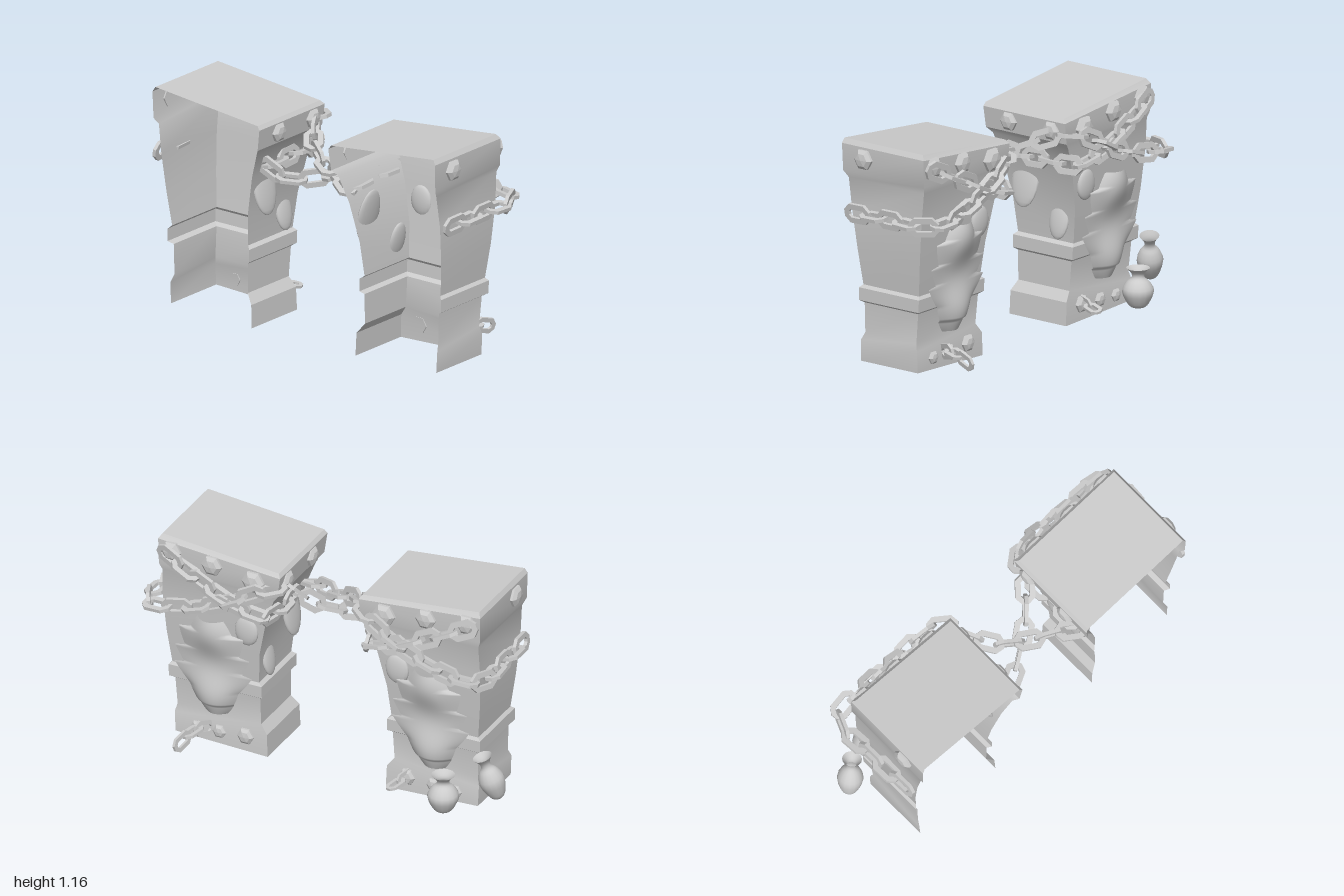
import * as THREE from 'three';
import { toCreasedNormals } from 'three/addons/utils/BufferGeometryUtils.js';

const V = (x, y, z) => new THREE.Vector3(x, y, z);
const UP = V(0, 1, 0);
const grey = new THREE.MeshStandardMaterial({ color: 0xcccccc });
const greySheet = new THREE.MeshStandardMaterial({ color: 0xcccccc, side: THREE.DoubleSide });
const greyFlat = new THREE.MeshStandardMaterial({ color: 0xcccccc, flatShading: true });

function add(parent, name, geometry, material = grey) {
  const mesh = new THREE.Mesh(geometry, material);
  mesh.name = name;
  parent.add(mesh);
  return mesh;
}

// Pillar levels: outer y, inner y, outer x, inner x, front z, back z
const LEVELS = [
  [0.02, 0, 0.82, 0.31, 0.262, -0.098],
  [0.13, 0.12, 0.825, 0.315, 0.26, -0.096],
  [0.17, 0.17, 0.815, 0.352, 0.24, -0.085],
  [0.325, 0.325, 0.82, 0.35, 0.24, -0.1],
  [0.34, 0.34, 0.845, 0.33, 0.257, -0.122],
  [0.405, 0.405, 0.845, 0.33, 0.257, -0.125],
  [0.42, 0.42, 0.83, 0.35, 0.24, -0.113],
  [0.6, 0.6, 0.85, 0.335, 0.26, -0.135],
  [0.8, 0.8, 0.862, 0.29, 0.285, -0.155],
  [0.965, 0.94, 0.858, 0.24, 0.31, -0.168],
  [1.0, 0.97, 0.872, 0.215, 0.335, -0.178],
  [1.14, 1.08, 0.875, 0.2, 0.34, -0.18],
  [1.165, 1.1, 0.86, 0.215, 0.335, -0.162],
];

// Interpolates the levels at a height
function levelAt(y) {
  const i = Math.max(1, LEVELS.findIndex((l) => l[0] >= y));
  const a = LEVELS[i - 1], b = LEVELS[i], t = (y - a[0]) / (b[0] - a[0]);
  return a.map((v, k) => v + (b[k] - v) * t);
}

// Three walls open to the front, closed by a sloping top
function shellGeometry(s) {
  const pos = [], index = [];
  for (const [yo, yi, xo, xi, zf, zb] of LEVELS)
    pos.push(s * xo, yo, zf, s * xo, yo, zb, s * xi, yi, zb, s * xi, yi, zf);
  const quad = (a, b, c, d) => index.push(...(s > 0 ? [a, b, c, a, c, d] : [a, c, b, a, d, c]));
  for (let i = 0; i < LEVELS.length - 1; i++)
    for (let k = 0; k < 3; k++) {
      const a = i * 4 + k;
      quad(a, a + 1, a + 5, a + 4);
    }
  const t = (LEVELS.length - 1) * 4;
  quad(t, t + 1, t + 2, t + 3);
  const g = new THREE.BufferGeometry();
  g.setAttribute('position', new THREE.Float32BufferAttribute(pos, 3));
  g.setIndex(index);
  return toCreasedNormals(g, 0.45);
}

// Six-sided domed bolt pointing along dir
function bolt(parent, name, p, r, dir) {
  const g = new THREE.LatheGeometry([[1, -0.1], [1, 0.25], [0.65, 0.52], [0, 0.62]]
    .map(([x, y]) => new THREE.Vector2(x * r, y * r)), 6);
  if (dir.z) g.rotateY(Math.PI / 6);
  const m = add(parent, name, g, greyFlat);
  m.position.copy(p);
  m.quaternion.setFromUnitVectors(UP, dir);
}

// Flat elongated eight-sided ring
function octagon(Shape, l, w, c) {
  return new Shape([[l, w - c], [l - c, w], [c - l, w], [-l, w - c], [-l, c - w], [c - l, -w], [l - c, -w], [l, c - w]]
    .map(([x, y]) => new THREE.Vector2(x, y)));
}
const linkShape = octagon(THREE.Shape, 0.08, 0.05, 0.032);
linkShape.holes.push(octagon(THREE.Path, 0.052, 0.022, 0.014));
const linkGeometry = new THREE.ExtrudeGeometry(linkShape, { depth: 0.018, bevelEnabled: false }).translate(0, 0, -0.009);

// Links along a curve, every other one turned a quarter
function chain(parent, name, points, scale = 1) {
  const group = new THREE.Group();
  group.name = name;
  const curve = new THREE.CatmullRomCurve3(points);
  const n = Math.max(2, Math.round(curve.getLength() / (0.108 * scale)));
  for (let i = 0; i < n; i++) {
    const u = (i + 0.5) / n;
    const link = add(group, 'chainLink', linkGeometry);
    const t = curve.getTangentAt(u);
    const side = V().crossVectors(t, UP).normalize();
    const up = V().crossVectors(side, t);
    link.quaternion.setFromRotationMatrix(new THREE.Matrix4().makeBasis(t, up, side));
    link.rotateX((i % 2 ? Math.PI / 2 : 0) + 0.15);
    link.position.copy(curve.getPointAt(u));
    link.scale.setScalar(scale);
  }
  parent.add(group);
}

// Bulging relief with a jagged, tapering outline on the back wall
function reliefGeometry(s) {
  const g = new THREE.PlaneGeometry(2, 1, 12, 60);
  const p = g.attributes.position;
  for (let i = 0; i < p.count; i++) {
    const u = -p.getX(i), v = p.getY(i) + 0.5;
    const saw = v > 0.25 && v < 0.85 ? (((v - 0.25) / 0.2) % 1) : 0;
    const body = 0.155 * Math.pow(Math.sin(Math.PI * (0.06 + 0.86 * v)), 0.55);
    const spike = 0.06 * saw * Math.max(0, Math.abs(u) - 0.6) / 0.4;
    const y = 0.2 + 0.56 * v;
    const bulge = (0.035 + 0.022 * Math.sin(v * 9)) * (1 - u * u);
    const wall = -0.112 - 0.058 * v - (v < 0.1 ? 0 : 0.012);
    p.setXYZ(i, s * 0.585 + u * body + Math.sign(u) * spike, y, wall - bulge);
  }
  g.computeVertexNormals();
  return g;
}

function pillar(s) {
  const g = new THREE.Group();
  g.name = s > 0 ? 'leftPillar' : 'rightPillar';
  add(g, 'pillarShell', shellGeometry(s), greySheet);
  add(g, 'backRelief', reliefGeometry(s), greySheet);

  // Bolts around the crown and along the foot
  const back = V(0, 0, -1);
  for (const [x, y, r] of [[0.8, 1.09, 0.055], [0.575, 1.065, 0.056], [0.345, 1.03, 0.062]])
    bolt(g, 'crownBolt', V(s * x, y, -0.178), r, back);
  for (const [x, y, r] of [[0.7, 0.075, 0.034], [0.575, 0.08, 0.037], [0.43, 0.09, 0.045]])
    bolt(g, 'footBolt', V(s * x, y, -0.096), r, back);
  bolt(g, 'outerBolt', V(s * 0.873, 1.08, 0.2), 0.055, V(s, 0, 0));
  bolt(g, 'innerBolt', V(s * 0.208, 1.03, 0.18), 0.05, V(-s, 0, 0));
  bolt(g, 'innerBolt', V(s * 0.208, 1.03, -0.09), 0.05, V(-s, 0, 0));

  // Low oval bosses on the inner and back walls
  for (const [y, z, ry, rz] of [[0.71, 0.16, 0.14, 0.085], [0.53, -0.03, 0.1, 0.06]]) {
    const m = add(g, 'innerBoss', new THREE.SphereGeometry(1, 16, 10));
    m.scale.set(0.02, ry, rz);
    m.position.set(s * levelAt(y)[3], y, z);
    m.rotation.z = -s * 0.2;
  }
  const boss = add(g, 'backBoss', new THREE.SphereGeometry(1, 16, 10));
  boss.scale.set(0.065, 0.08, 0.022);
  boss.position.set(s * 0.4, 0.72, -0.15);

  // Two chains crossing over the back
  chain(g, 'lowerChain', [V(s * 0.9, 0.8, 0.27), V(s * 0.91, 0.81, 0), V(s * 0.91, 0.81, -0.2), V(s * 0.85, 0.82, -0.27),
    V(s * 0.68, 0.84, -0.26), V(s * 0.48, 0.91, -0.25), V(s * 0.3, 1.0, -0.23), V(s * 0.2, 1.02, -0.16)]);
  chain(g, 'upperChain', [V(s * 0.84, 1.09, -0.2), V(s * 0.62, 0.99, -0.23), V(s * 0.42, 0.9, -0.23),
    V(s * 0.27, 0.86, -0.2), V(s * 0.25, 0.86, 0), V(s * 0.25, 0.85, 0.2)]);
  g.position.x = s > 0 ? 0.035 : 0;
  return g;
}

// Round jar with a narrow neck and wide lip
const vaseProfile = new THREE.SplineCurve([[0.035, 0], [0.055, 0.02], [0.08, 0.08], [0.06, 0.125], [0.033, 0.15], [0.035, 0.175], [0.06, 0.2]]
  .map(([x, y]) => new THREE.Vector2(x, y))).getPoints(18);
const vaseGeometry = new THREE.LatheGeometry([new THREE.Vector2(0, 0), ...vaseProfile], 16);

export function createModel() {
  const model = new THREE.Group();
  model.name = 'chainedPillars';
  model.add(pillar(1), pillar(-1));

  // Chains crossing the gap
  chain(model, 'gapChain', [V(-0.2, 1.01, -0.12), V(-0.1, 0.95, 0.03), V(0.05, 0.89, 0.12), V(0.18, 0.87, 0.18), V(0.29, 0.84, 0.24)]);
  chain(model, 'gapChain', [V(-0.27, 0.87, 0.23), V(-0.15, 0.81, 0.2), V(0, 0.82, 0.11), V(0.12, 0.87, 0.02), V(0.23, 1.01, -0.1)]);

  // Short loose chains at the feet
  chain(model, 'footChain', [V(0.66, 0.09, -0.1), V(0.7, 0.11, -0.2), V(0.73, 0.08, -0.33)], 0.8);
  chain(model, 'footChain', [V(-0.44, 0.1, -0.09), V(-0.4, 0.08, -0.22)], 0.7);

  // Jars beside the right pillar
  add(model, 'standingVase', vaseGeometry, greySheet).position.set(-0.7, 0.04, -0.24);
  const leaning = add(model, 'leaningVase', vaseGeometry, greySheet);
  leaning.position.set(-0.945, 0.12, -0.12);
  leaning.scale.set(0.83, 1.22, 0.83);
  leaning.rotation.set(-0.2, 0, -0.27);
  return model;
}
